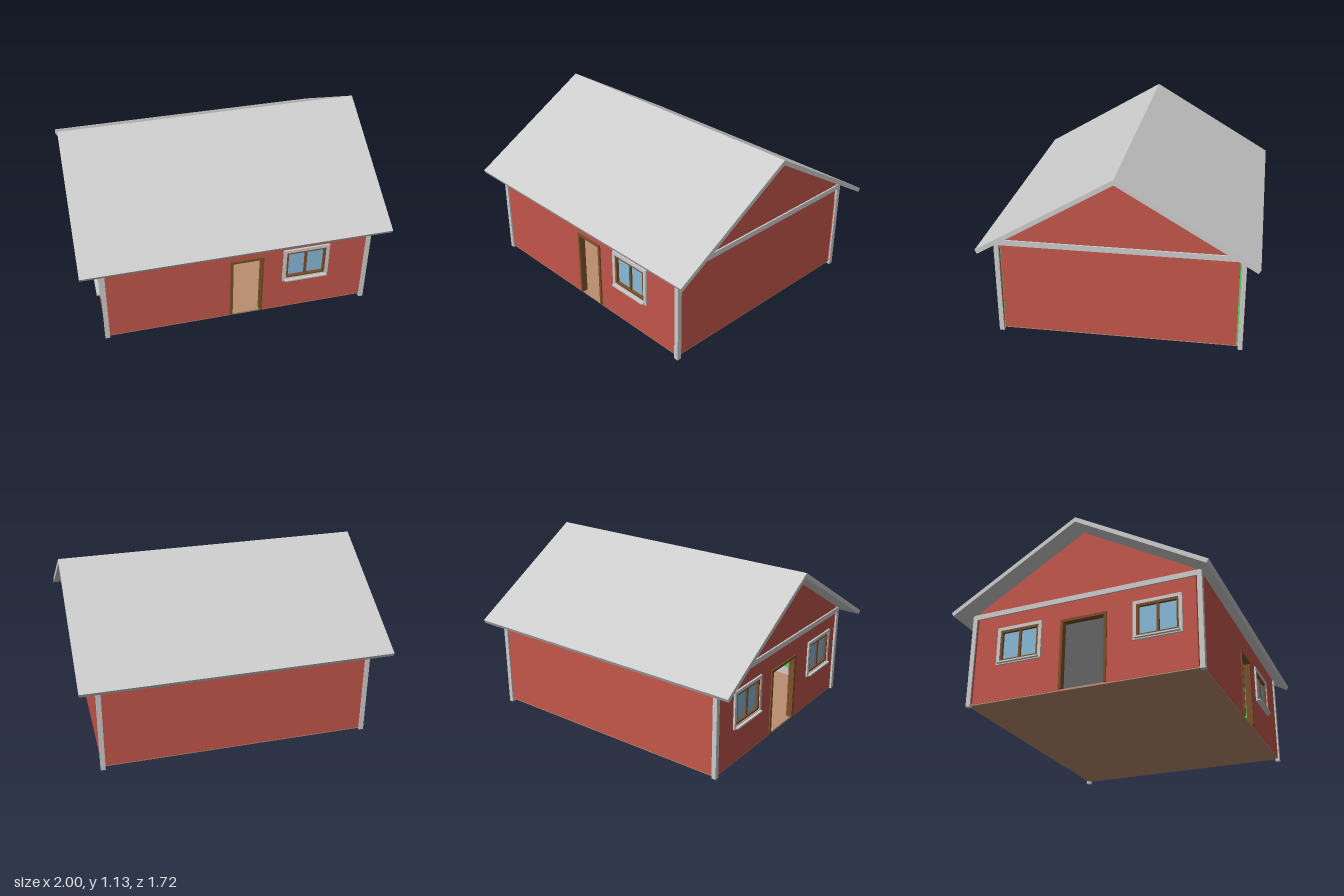
import * as THREE from 'three';

const mat = (color) => new THREE.MeshStandardMaterial({ color });
const GREY = mat(0xcccccc), RED = mat(0xc3564b), GREEN = mat(0x57d45d);
const BROWN = mat(0x7c4f29), BLUE = mat(0x88bad8), TAN = mat(0xba8e70);

const HALF_X = 0.875, HALF_Z = 0.765; // outer wall faces
const BASE = 0.025, FLOOR = 0.03, APEX = 1.097, SLOPE = 0.59;
const THICK = 0.03, LINING = 0.01;

function add(parent, name, geometry, material, x = 0, y = 0, z = 0) {
  const mesh = new THREE.Mesh(geometry, material);
  mesh.name = name;
  mesh.position.set(x, y, z);
  parent.add(mesh);
  return mesh;
}

const box = (parent, name, material, w, h, d, x, y, z) =>
  add(parent, name, new THREE.BoxGeometry(w, h, d), material, x, y, z);

const polygon = (points) => new THREE.Shape(points.map(([x, y]) => new THREE.Vector2(x, y)));
const rect = (x0, y0, x1, y1) => polygon([[x0, y0], [x1, y0], [x1, y1], [x0, y1]]);
const extrude = (shape, depth) => new THREE.ExtrudeGeometry(shape, { depth, bevelEnabled: false });

// Rectangular ring of border t
function frame(parent, name, material, [x0, y0, x1, y1], t, z, depth) {
  const shape = rect(x0, y0, x1, y1);
  shape.holes.push(rect(x0 + t, y0 + t, x1 - t, y1 - t));
  add(parent, name, extrude(shape, depth), material, 0, 0, z);
}

// Window centred on x in a wall whose outer face is z = 0
function addWindow(wall, x) {
  const g = new THREE.Group();
  g.name = 'window';
  g.position.set(x, 0.388, 0);
  wall.add(g);
  frame(g, 'windowTrim', GREY, [-0.155, -0.128, 0.155, 0.128], 0.022, -0.002, 0.014);
  frame(g, 'windowFrame', BROWN, [-0.135, -0.108, 0.135, 0.108], 0.016, -THICK, 0.037);
  box(g, 'windowMullion', BROWN, 0.016, 0.19, 0.026, 0, 0, -0.012);
  box(g, 'windowGlass', BLUE, 0.245, 0.192, 0.006, 0, 0, -0.014);
  box(g, 'windowSill', GREY, 0.285, 0.01, 0.035, 0, -0.117, 0.0125);
}

// Open doorway lined with a wooden frame
function addDoorFrame(wall, x, width) {
  const h = width / 2, t = 0.018, top = 0.49;
  const shape = polygon([[-h, FLOOR], [-h + t, FLOOR], [-h + t, top - t], [h - t, top - t],
    [h - t, FLOOR], [h, FLOOR], [h, top], [-h, top]]);
  add(wall, 'doorFrame', extrude(shape, THICK + 0.012), BROWN, x, 0, -THICK - 0.003);
}

// Wall with outer face at z = 0: red cladding, green lining, skirting, openings
function buildWall(name, half, gable, windows = [], door = null) {
  const wall = new THREE.Group();
  wall.name = name;
  const layer = (w) => {
    const eave = gable ? APEX - SLOPE * w : APEX - SLOPE * HALF_Z;
    const points = [[-w, BASE]];
    if (door) {
      const a = door.x - door.width / 2 + 0.006, b = door.x + door.width / 2 - 0.006;
      points.push([a, BASE], [a, 0.484], [b, 0.484], [b, BASE]);
    }
    points.push([w, BASE], [w, eave]);
    if (gable) points.push([0, APEX]);
    points.push([-w, eave]);
    const shape = polygon(points);
    for (const x of windows) shape.holes.push(rect(x - 0.13, 0.285, x + 0.13, 0.49));
    return shape;
  };
  const clad = THICK - LINING;
  add(wall, 'cladding', extrude(layer(half), clad), RED, 0, 0, -clad);
  add(wall, 'lining', extrude(layer(half - 0.02), LINING), GREEN, 0, 0, -THICK);

  const end = half - 0.03;
  const runs = door
    ? [[-end, door.x - door.width / 2], [door.x + door.width / 2, end]]
    : [[-end, end]];
  for (const [a, b] of runs) {
    box(wall, 'skirting', GREY, b - a, 0.055, 0.008, (a + b) / 2, FLOOR + 0.0275, -THICK - 0.004);
  }
  for (const x of windows) addWindow(wall, x);
  if (door) addDoorFrame(wall, door.x, door.width);
  return wall;
}

export function createModel() {
  const model = new THREE.Group();
  model.name = 'house';
  const house = new THREE.Group();
  house.name = 'building';
  house.position.x = 0.01;
  model.add(house);

  // Walls
  const inner = HALF_Z - THICK;
  const place = (wall, x, z, turn) => {
    wall.position.set(x, 0, z);
    wall.rotation.y = turn;
    house.add(wall);
  };
  place(buildWall('frontWall', HALF_X, false, [0.45], { x: 0.055, width: 0.22 }), 0, HALF_Z, 0);
  place(buildWall('backWall', HALF_X, false), 0, -HALF_Z, Math.PI);
  place(buildWall('leftWall', inner, true), HALF_X, 0, Math.PI / 2);
  place(buildWall('rightWall', inner, true, [-0.425, 0.495], { x: 0.015, width: 0.31 }),
    -HALF_X, 0, -Math.PI / 2);

  // Floor and ceiling
  box(house, 'floor', TAN, 2 * HALF_X - 0.004, 0.012, 2 * HALF_Z - 0.004, 0, FLOOR - 0.006, 0);
  box(house, 'ceiling', GREY, 2 * (HALF_X - THICK), 0.01, 2 * inner, 0, 0.615, 0);

  // Corner posts and gable bands
  for (const sx of [-1, 1]) {
    const bottom = sx > 0 ? 0 : 0.012;
    for (const sz of [-1, 1]) {
      box(house, 'cornerPost', GREY, 0.03, 0.625 - bottom, 0.03,
        sx * (HALF_X - 0.005), (0.625 + bottom) / 2, sz * (HALF_Z - 0.005));
    }
    box(house, 'gableBand', GREY, 0.02, 0.035, 1.55, sx * HALF_X, 0.6275, 0);
  }

  // Pitched roof with square-cut eaves
  const roof = polygon([[0, 1.13], [-0.858, 0.622], [-0.844, 0.597], [0, APEX],
    [0.844, 0.597], [0.858, 0.622]]);
  const roofMesh = add(model, 'roof', extrude(roof, 2), GREY, -1, 0, 0);
  roofMesh.rotation.y = Math.PI / 2;
  return model;
}
